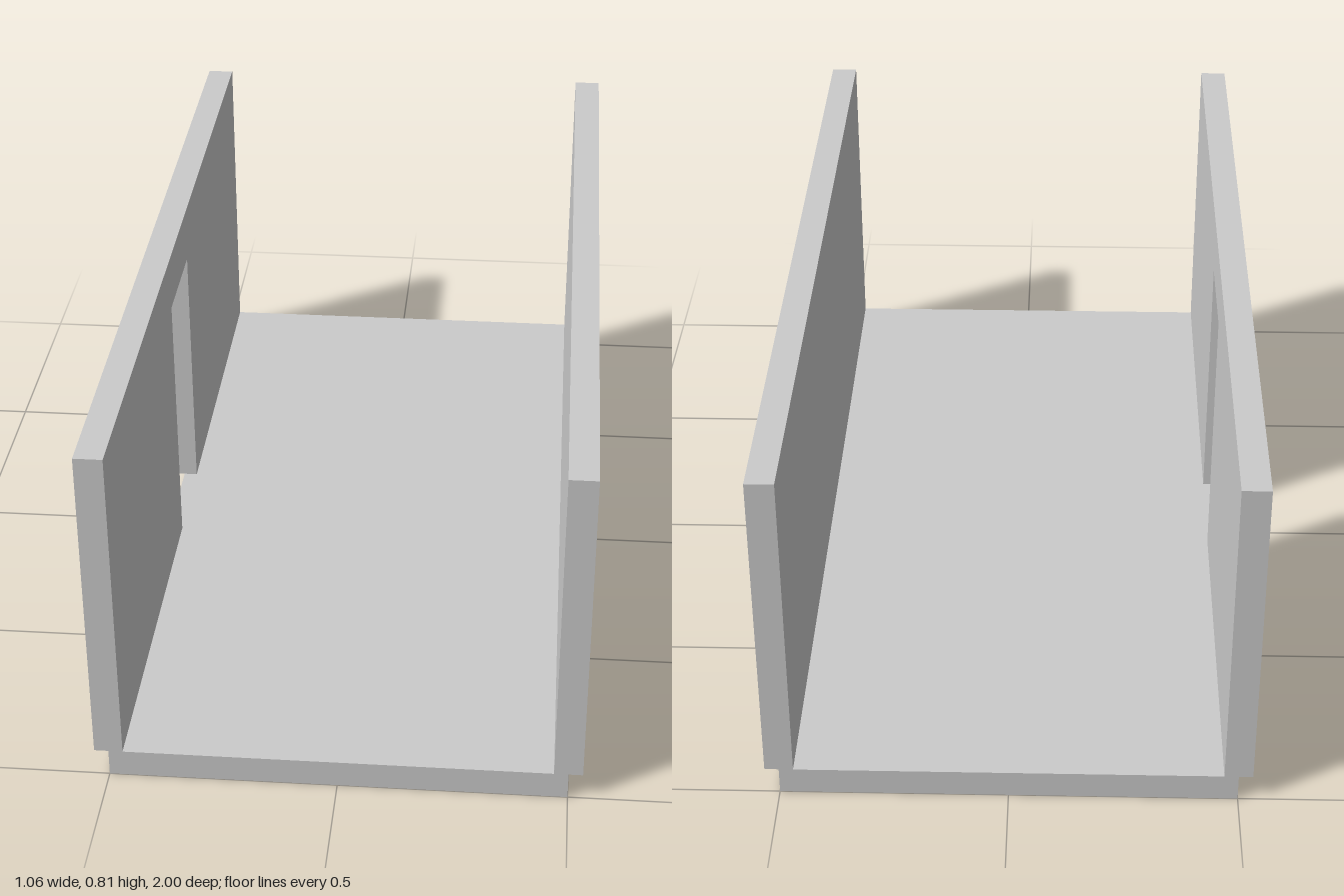
import * as THREE from 'three';

const LENGTH = 2, THICK = 0.0625, WALL_H = 0.75, FLOOR_W = 1;
const DOOR_W = 0.25, DOOR_H = 0.625;

export function createModel() {
  const group = new THREE.Group();
  const material = new THREE.MeshStandardMaterial({ color: 0xcccccc, flatShading: true });

  const add = (name, geometry, x, y) => {
    const mesh = new THREE.Mesh(geometry, material);
    mesh.name = name;
    mesh.position.set(x, y, 0);
    group.add(mesh);
  };

  // Floor slab
  add('floor', new THREE.BoxGeometry(FLOOR_W, THICK, LENGTH), 0, THICK / 2);

  // Plain wall, centred over the floor's edge
  add('leftWall', new THREE.BoxGeometry(THICK, WALL_H, LENGTH), FLOOR_W / 2, THICK + WALL_H / 2);

  // Wall with a doorway: outline with a notch rising from its bottom edge
  const l = LENGTH / 2, d = DOOR_W / 2;
  const outline = [
    [-l, 0], [-d, 0], [-d, DOOR_H], [d, DOOR_H],
    [d, 0], [l, 0], [l, WALL_H], [-l, WALL_H],
  ].map(([x, y]) => new THREE.Vector2(x, y));
  const doorWall = new THREE.ExtrudeGeometry(new THREE.Shape(outline), { depth: THICK, bevelEnabled: false });
  doorWall.translate(0, 0, -THICK / 2).rotateY(Math.PI / 2);
  add('rightWallWithDoorway', doorWall, -FLOOR_W / 2, THICK);

  return group;
}
